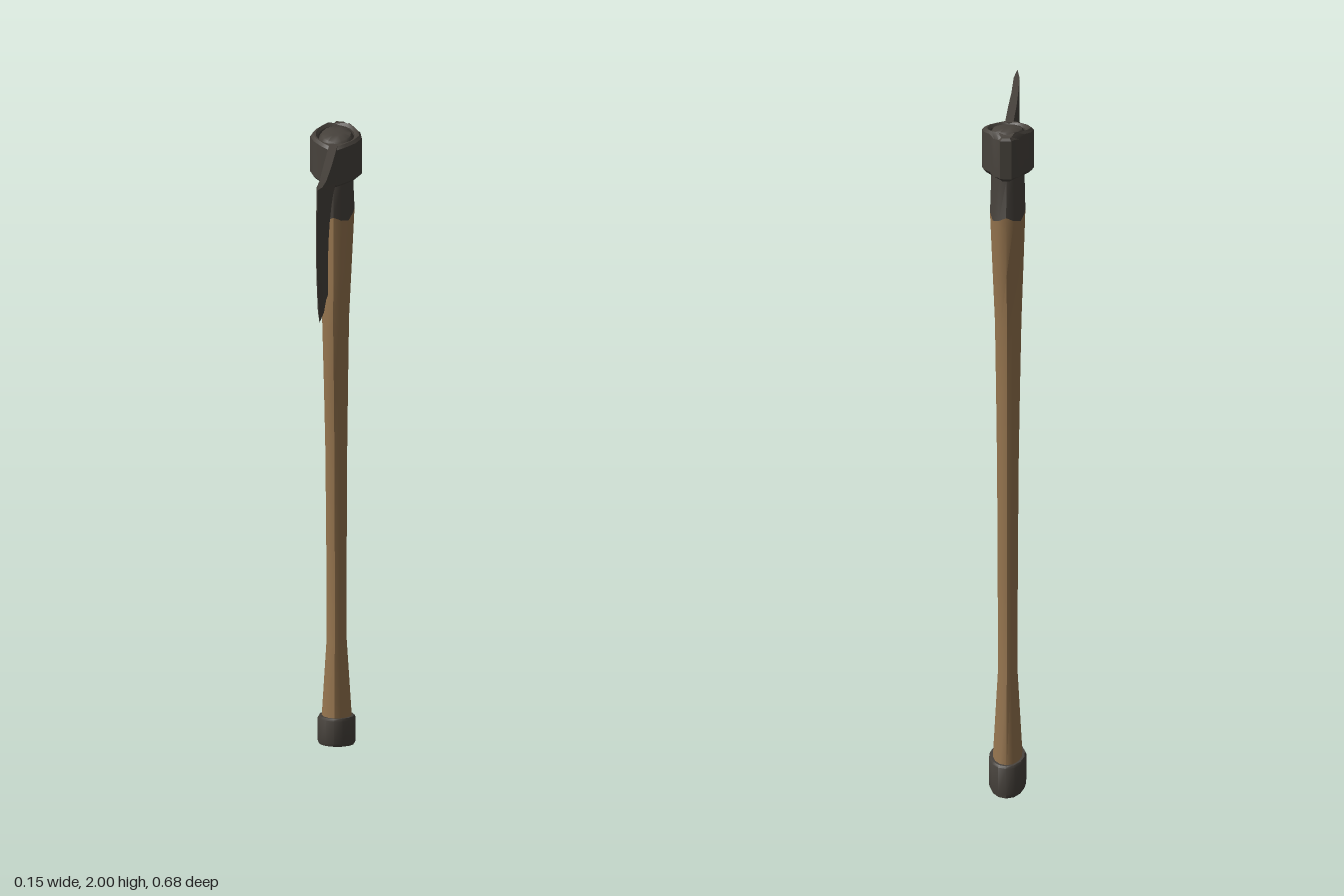
import * as THREE from 'three';
import { toCreasedNormals } from 'three/addons/utils/BufferGeometryUtils.js';

const iron = new THREE.MeshStandardMaterial({ color: 0x47423c });
iron.name = 'dark iron';
const wood = new THREE.MeshStandardMaterial({ color: 0x96754f });
wood.name = 'ash wood';

const SIDES = 14;

// Closed loft through oval rings: [y, zFront, zBack, halfWidth, tilt, wave]
function loft(rings) {
  const pos = [], index = [];
  for (const [y, zf, zb, hx, tilt = 0, wave = 0] of rings) {
    for (let i = 0; i < SIDES; i++) {
      const a = (i / SIDES) * Math.PI * 2, c = Math.cos(a);
      pos.push(hx * Math.sin(a), y + tilt * c + wave * Math.cos(4 * a), (zf + zb) / 2 + (zf - zb) / 2 * c);
    }
  }
  for (let r = 0; r < rings.length - 1; r++) {
    for (let i = 0; i < SIDES; i++) {
      const a = r * SIDES + i, b = r * SIDES + (i + 1) % SIDES;
      index.push(a, b, b + SIDES, a, b + SIDES, a + SIDES);
    }
  }
  // End caps
  const last = (rings.length - 1) * SIDES, n = pos.length / 3;
  for (const [y, zf, zb] of [rings[0], rings[rings.length - 1]]) pos.push(0, y, (zf + zb) / 2);
  for (let i = 0; i < SIDES; i++) {
    const j = (i + 1) % SIDES;
    index.push(n, j, i, n + 1, last + i, last + j);
  }
  const g = new THREE.BufferGeometry();
  g.setAttribute('position', new THREE.Float32BufferAttribute(pos, 3));
  g.setIndex(index);
  return toCreasedNormals(g, 0.7);
}

function part(group, name, geometry, material) {
  const mesh = new THREE.Mesh(geometry, material);
  mesh.name = name;
  group.add(mesh);
}

// Blade half thickness, thinning towards the cutting edge
const bladeHalf = (z) => 0.012 - 0.004 * THREE.MathUtils.clamp((z - 0.02) / 0.25, 0, 1);

// Cutting edge and the line where its bevel starts, as [z, y]
const edge = [[0.312, 2.0], [0.328, 1.93], [0.338, 1.84], [0.334, 1.75], [0.308, 1.66], [0.26, 1.562]];
const inner = [[0.262, 1.987], [0.275, 1.92], [0.283, 1.84], [0.28, 1.76], [0.257, 1.67], [0.22, 1.577]];

function bladeBody() {
  const outline = [
    [-0.15, 1.94], [-0.15, 1.815], [-0.125, 1.82], [-0.08, 1.842], [-0.02, 1.845], [0.03, 1.832],
    [0.075, 1.8], [0.105, 1.755], [0.121, 1.7], [0.122, 1.635], [0.116, 1.587], [0.165, 1.592],
    [0.195, 1.585], ...[...inner].reverse(), [0.16, 1.962], [0.03, 1.951],
  ];
  const g = new THREE.ExtrudeGeometry(new THREE.Shape(outline.map((p) => new THREE.Vector2(...p))),
    { depth: 2, bevelEnabled: false });
  g.translate(0, 0, -1).rotateY(-Math.PI / 2);
  const p = g.attributes.position;
  for (let i = 0; i < p.count; i++) p.setX(i, Math.sign(p.getX(i)) * bladeHalf(p.getZ(i)));
  return toCreasedNormals(g, 0.5);
}

// Wedge from the blade body to the sharp edge
function bladeBevel() {
  const pos = [], index = [];
  edge.forEach(([ez, ey], i) => {
    const [z, y] = inner[i], h = bladeHalf(z);
    pos.push(h, y, z, 0, ey, ez, -h, y, z);
  });
  for (let i = 0; i < edge.length - 1; i++) {
    const a = i * 3, b = a + 3;
    index.push(a, a + 1, b, a + 1, b + 1, b);
    index.push(a + 1, a + 2, b + 1, a + 2, b + 2, b + 1);
  }
  const e = (edge.length - 1) * 3;
  index.push(0, 2, 1, e, e + 1, e + 2);
  const g = new THREE.BufferGeometry();
  g.setAttribute('position', new THREE.Float32BufferAttribute(pos, 3));
  g.setIndex(index);
  return toCreasedNormals(g, 0.4);
}

// Teardrop socket around the haft, with a square poll at the back
function socketGeometry() {
  const half = [
    [0.012, -0.122], [0.036, -0.147], [0.06, -0.178], [0.074, -0.214], [0.067, -0.25],
    [0.05, -0.28], [0.036, -0.302], [0.021, -0.318], [0.016, -0.337],
  ];
  const outline = [...half, ...half.map(([x, z]) => [-x, z]).reverse()];
  const shape = new THREE.Shape(outline.map(([x, z]) => new THREE.Vector2(x, -z)));
  shape.holes.push(new THREE.Path().absellipse(0, 0.225, 0.052, 0.071, 0, Math.PI * 2, true));
  const g = new THREE.ExtrudeGeometry(shape, {
    depth: 0.11, bevelThickness: 0.008, bevelSize: 0.007, bevelOffset: -0.007, bevelSegments: 1, curveSegments: 8,
  });
  g.rotateX(-Math.PI / 2).translate(0, 1.822, 0);
  const p = g.attributes.position;
  for (let i = 0; i < p.count; i++) {
    if (p.getZ(i) < -0.3) p.setY(i, p.getY(i) - 0.01);
  }
  return toCreasedNormals(g, 0.6);
}

export function createModel() {
  const axe = new THREE.Group();
  axe.name = 'axe';

  // Haft: curved wooden grip
  const seam = [1.693, -0.145, -0.316, 0.051, 0.008, 0.009];
  part(axe, 'haft', loft([
    [0.09, -0.163, -0.307, 0.044, 0.02],
    [0.36, -0.18, -0.28, 0.028],
    [0.65, -0.178, -0.278, 0.029],
    [0.95, -0.17, -0.275, 0.031],
    [1.15, -0.154, -0.274, 0.034],
    [1.37, -0.132, -0.274, 0.038],
    [1.52, -0.137, -0.294, 0.044],
    seam,
  ]), wood);

  // Iron neck running up through the socket to a domed top
  part(axe, 'neck', loft([
    seam,
    [1.8, -0.145, -0.297, 0.048],
    [1.925, -0.156, -0.294, 0.051],
    [1.938, -0.168, -0.282, 0.042],
    [1.944, -0.198, -0.252, 0.02],
  ]), iron);

  // Slanted butt cap
  part(axe, 'buttCap', loft([
    [0.025, -0.155, -0.316, 0.05, 0.024],
    [0.035, -0.152, -0.317, 0.054, 0.023],
    [0.108, -0.152, -0.316, 0.054, 0.021],
    [0.115, -0.156, -0.312, 0.05, 0.021],
  ]), iron);

  // Head
  const head = new THREE.Group();
  head.name = 'head';
  part(head, 'socket', socketGeometry(), iron);
  part(head, 'blade', bladeBody(), iron);
  part(head, 'cuttingEdge', bladeBevel(), iron);
  axe.add(head);

  return axe;
}
